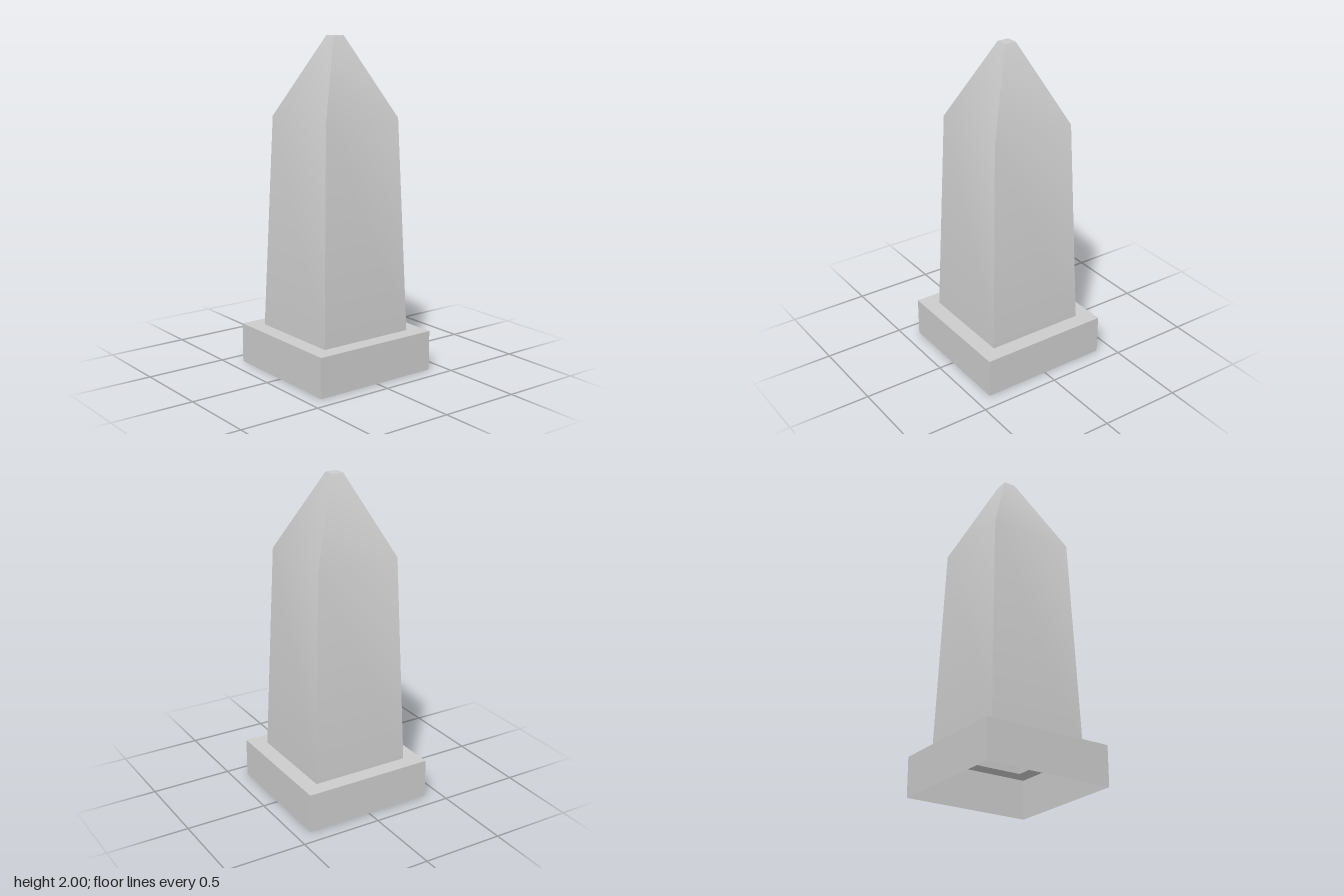
import * as THREE from 'three';
import { toCreasedNormals } from 'three/addons/utils/BufferGeometryUtils.js';

const material = new THREE.MeshStandardMaterial({ color: 0xcccccc, side: THREE.DoubleSide });

// Square shell swept from a profile of [half width, height] points, bottom to top
function squareShell(name, profile) {
  const points = profile.map(([half, y]) => new THREE.Vector2(half * Math.SQRT2, y));
  const geometry = new THREE.LatheGeometry(points, 4, Math.PI / 4);
  const mesh = new THREE.Mesh(toCreasedNormals(geometry, Math.PI / 6), material);
  mesh.name = name;
  return mesh;
}

export function createModel() {
  const group = new THREE.Group();
  group.name = 'obelisk';

  const plinthTop = 0.243;
  const shaftHalf = 0.307;

  // Plinth: open underneath, with a ledge running in to the shaft
  group.add(squareShell('plinth', [[0.405, 0], [0.405, plinthTop], [shaftHalf, plinthTop]]));

  // Hollow tapering shaft, softly shaded into its pointed top, with a small flat cap
  group.add(squareShell('shaft', [[shaftHalf, plinthTop], [0.262, 1.527], [0.036, 2], [0, 2]]));

  return group;
}
